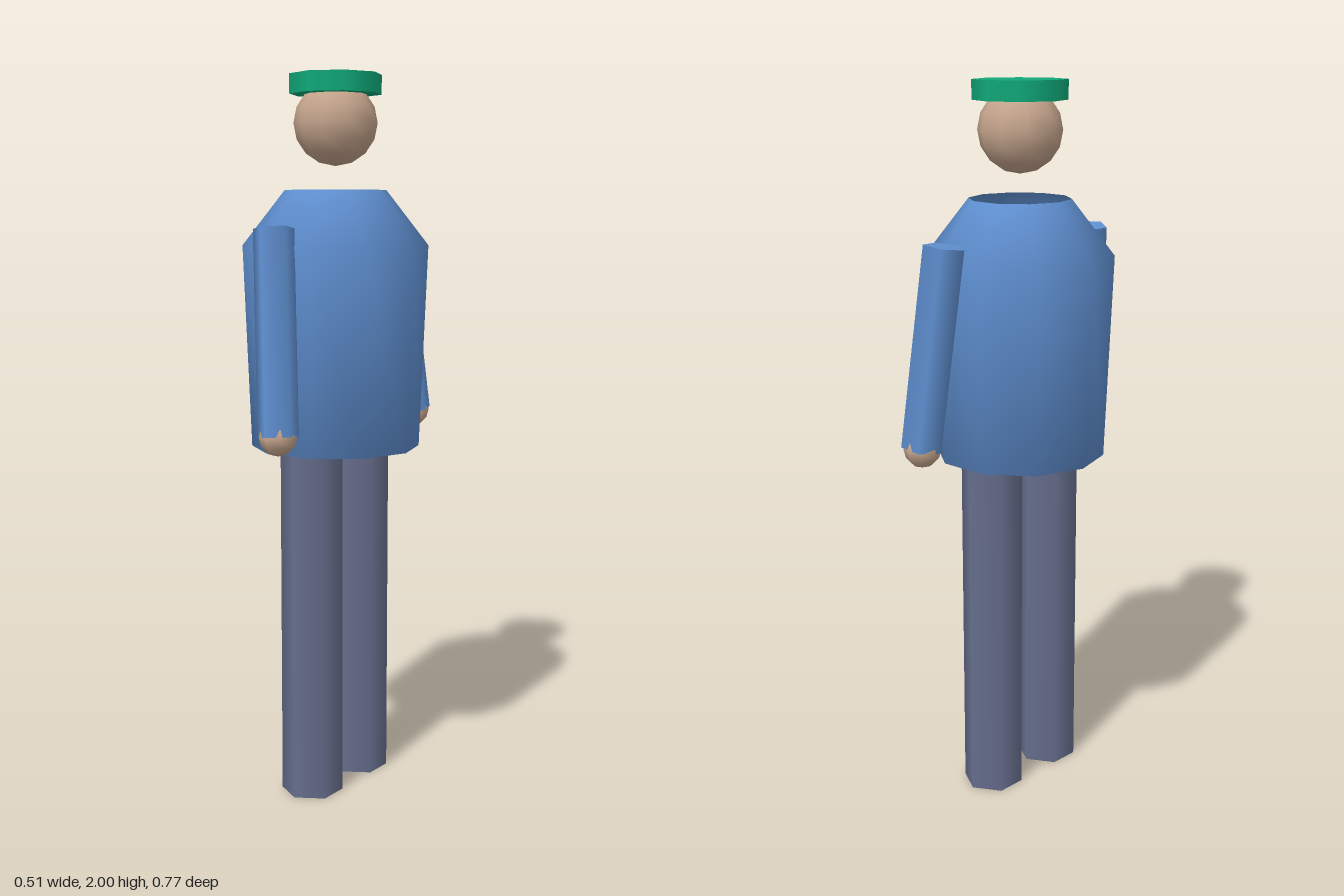
import * as THREE from 'three';

const paint = (color, side = THREE.FrontSide) => new THREE.MeshStandardMaterial({ color, side });

export function createModel() {
  const model = new THREE.Group();
  model.name = 'figure';
  const blue = paint(0x5f8fd0);
  const slate = paint(0x666e8c);
  const skin = paint(0xc4a48c);
  const green = paint(0x10a878);

  const add = (name, geometry, material, x, y, z) => {
    const mesh = new THREE.Mesh(geometry, material);
    mesh.name = name;
    mesh.position.set(x, y, z);
    model.add(mesh);
    return mesh;
  };

  // Ten-sided coat, closed below and open at the neck
  const profile = [[0, 0.98], [0.235, 0.98], [0.257, 1.54], [0.14, 1.69]]
    .map(([r, y]) => new THREE.Vector2(r, y));
  const coat = new THREE.LatheGeometry(profile, 10).rotateY(Math.PI / 2);
  add('torso', coat, paint(0x5f8fd0, THREE.DoubleSide), 0, 0, 0);

  // Floating head with a flat cap
  add('head', new THREE.SphereGeometry(0.115, 10, 8), skin, 0, 1.87, 0);
  add('cap', new THREE.CylinderGeometry(0.128, 0.128, 0.053, 8), green, 0, 1.9735, 0);

  // Limbs: the figure looks along +x, so its sides lie on +z and -z
  const up = new THREE.Vector3(0, 1, 0);
  for (const [side, s] of [['front', 1], ['back', -1]]) {
    add(side + 'Leg', new THREE.CylinderGeometry(0.086, 0.086, 1, 6), slate, 0, 0.5, s * 0.115);

    // Arm swings outward and forward from shoulder to wrist
    const shoulder = new THREE.Vector3(0, 1.59, s * 0.281);
    const wrist = new THREE.Vector3(0.048, 1.05, s * 0.329);
    const along = shoulder.clone().sub(wrist);
    const middle = shoulder.clone().add(wrist).multiplyScalar(0.5);
    const arm = add(side + 'Arm', new THREE.CylinderGeometry(0.057, 0.057, along.length(), 5),
      blue, middle.x, middle.y, middle.z);
    arm.quaternion.setFromUnitVectors(up, along.normalize());
    add(side + 'Hand', new THREE.SphereGeometry(0.051, 8, 6), skin, wrist.x, wrist.y, wrist.z);
  }

  model.position.z = -0.004;
  return model;
}
